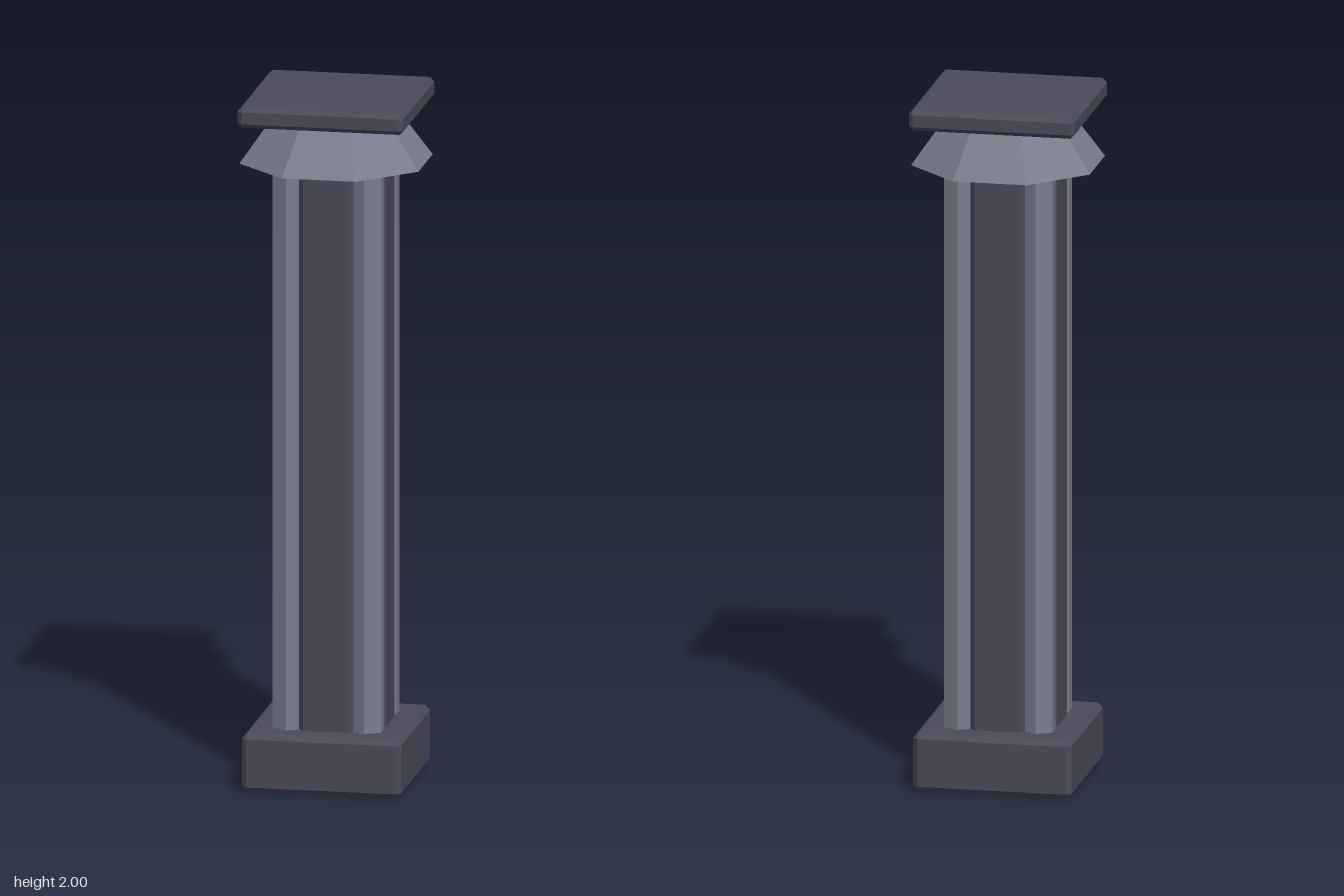
import * as THREE from 'three';
import { ConvexGeometry } from 'three/addons/geometries/ConvexGeometry.js';

// Box with every edge cut at 45 degrees
function chamferedBox(w, h, d, c) {
  const points = [];
  for (const sx of [-1, 1]) for (const sy of [-1, 1]) for (const sz of [-1, 1]) {
    const x = w / 2, y = h / 2, z = d / 2;
    points.push(
      new THREE.Vector3(sx * x, sy * (y - c), sz * (z - c)),
      new THREE.Vector3(sx * (x - c), sy * y, sz * (z - c)),
      new THREE.Vector3(sx * (x - c), sy * (y - c), sz * z)
    );
  }
  return new ConvexGeometry(points);
}

export function createModel() {
  const darkStone = new THREE.MeshStandardMaterial({ color: 0x4a4a5a, flatShading: true });
  darkStone.name = 'darkStone';
  const lightStone = new THREE.MeshStandardMaterial({ color: 0x7a7d8e, flatShading: true });
  lightStone.name = 'lightStone';

  const model = new THREE.Group();
  model.name = 'column';
  const add = (name, geometry, material, x, y, z) => {
    const mesh = new THREE.Mesh(geometry, material);
    mesh.name = name;
    mesh.position.set(x, y, z);
    model.add(mesh);
    return mesh;
  };

  // Square base and top slab
  add('base', chamferedBox(0.46, 0.17, 0.46, 0.015), darkStone, 0, 0.085, 0);
  add('topSlab', chamferedBox(0.48, 0.06, 0.48, 0.0125), darkStone, 0, 1.97, 0);

  // Octagonal shaft, flat side to the front
  const bottom = 0.16, top = 1.82, length = top - bottom, middle = (top + bottom) / 2;
  const shaft = add('shaft', new THREE.CylinderGeometry(0.17, 0.17, length, 8), darkStone, 0, middle, 0);
  shaft.rotation.y = Math.PI / 8;

  // Hexagonal ribs on the four diagonals
  const ribGeometry = new THREE.CylinderGeometry(0.05, 0.05, length, 6);
  for (const sx of [-1, 1]) for (const sz of [-1, 1]) {
    const name = (sz > 0 ? 'front' : 'back') + (sx > 0 ? 'Left' : 'Right') + 'Rib';
    add(name, ribGeometry, lightStone, sx * 0.113, middle, sz * 0.113);
  }

  // Flared octagonal capital
  const capital = add('capital', new THREE.CylinderGeometry(0.18, 0.28, 0.135, 8), lightStone, 0, 1.8725, 0);
  capital.rotation.y = Math.PI / 8;

  return model;
}
